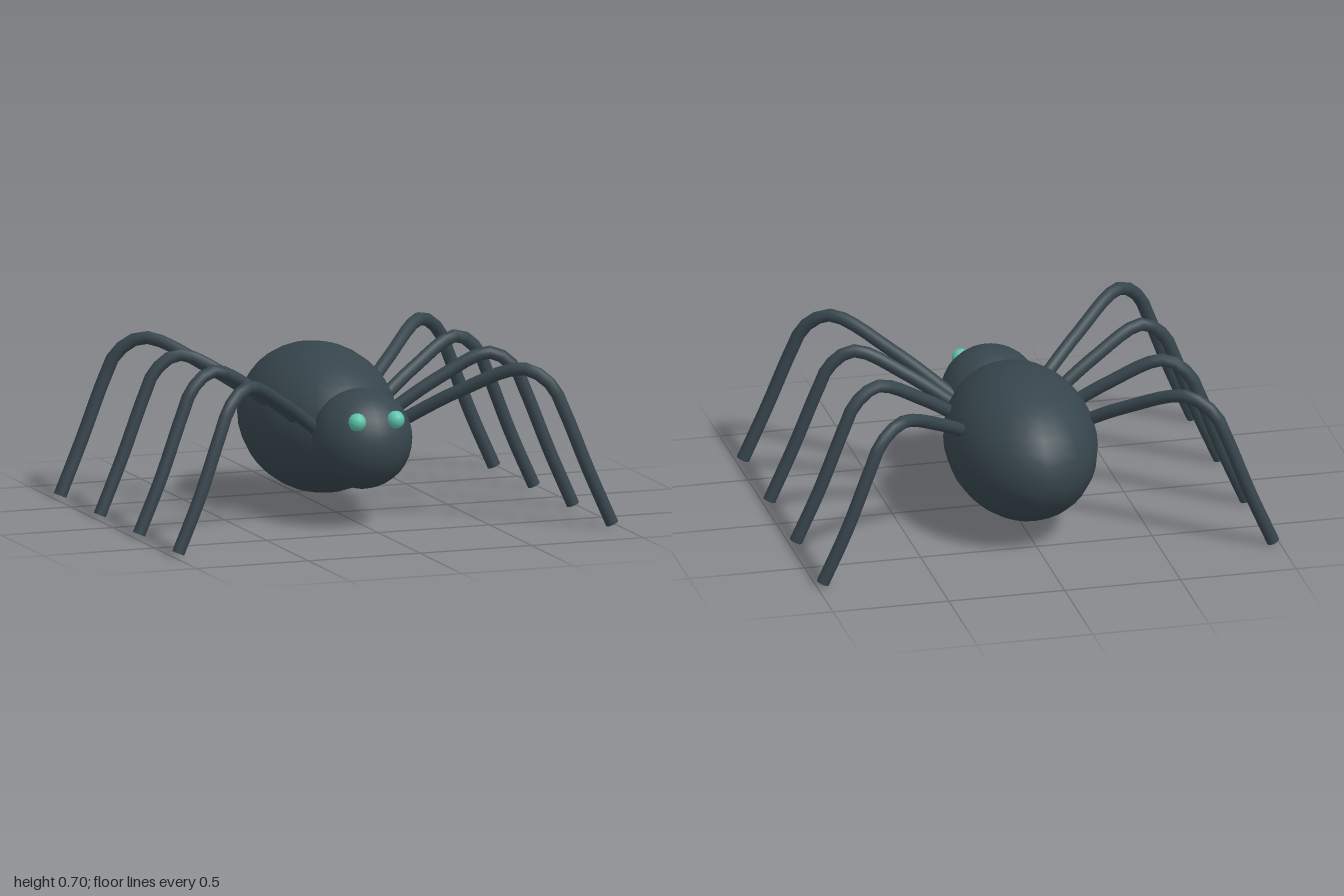
import * as THREE from 'three';

export function createModel() {
  const group = new THREE.Group();
  const charcoal = new THREE.MeshStandardMaterial({ name: 'charcoal', color: 0x36454c });
  const mint = new THREE.MeshStandardMaterial({ name: 'mint', color: 0x5cc4aa });

  const ball = (name, material, segments, radii, position) => {
    const mesh = new THREE.Mesh(new THREE.SphereGeometry(1, segments, segments * 0.75), material);
    mesh.name = name;
    mesh.scale.set(...radii);
    mesh.position.set(...position);
    group.add(mesh);
  };

  // Body
  ball('abdomen', charcoal, 24, [0.315, 0.315, 0.47], [0, 0.37, -0.22]);
  ball('head', charcoal, 24, [0.212, 0.212, 0.212], [0, 0.37, 0.31]);

  // Legs share one arch in x and y; each row has its own sweep in z
  const arch = [[0.16, 0.395], [0.4, 0.565], [0.62, 0.675], [0.72, 0.61], [0.767, 0.51], [0.87, 0.245], [0.972, 0.012]];
  const sweeps = {
    front: [0.22, 0.41, 0.59, 0.65, 0.67, 0.695, 0.705],
    midFront: [0.07, 0.13, 0.185, 0.205, 0.213, 0.23, 0.237],
    midBack: [-0.06, -0.145, -0.22, -0.24, -0.243, -0.24, -0.23],
    back: [-0.21, -0.43, -0.64, -0.695, -0.71, -0.715, -0.705],
  };
  const legRadius = 0.028;

  for (const [sideName, side] of [['Left', 1], ['Right', -1]]) {
    for (const [row, zs] of Object.entries(sweeps)) {
      const curve = new THREE.CatmullRomCurve3(arch.map(([x, y], i) => new THREE.Vector3(side * x, y, zs[i])));
      const leg = new THREE.Group();
      leg.name = `${row}Leg${sideName}`;
      const tube = new THREE.Mesh(new THREE.TubeGeometry(curve, 24, legRadius, 10), charcoal);
      tube.name = 'legTube';
      // Closed tip of the foot
      const tip = new THREE.Mesh(new THREE.CircleGeometry(legRadius, 10), charcoal);
      tip.name = 'footTip';
      tip.position.copy(curve.getPoint(1));
      tip.quaternion.setFromUnitVectors(new THREE.Vector3(0, 0, 1), curve.getTangent(1));
      leg.add(tube, tip);
      group.add(leg);
    }
    // Eyes
    ball(`eye${sideName}`, mint, 12, [0.038, 0.038, 0.038], [side * 0.086, 0.474, 0.483]);
  }
  return group;
}
